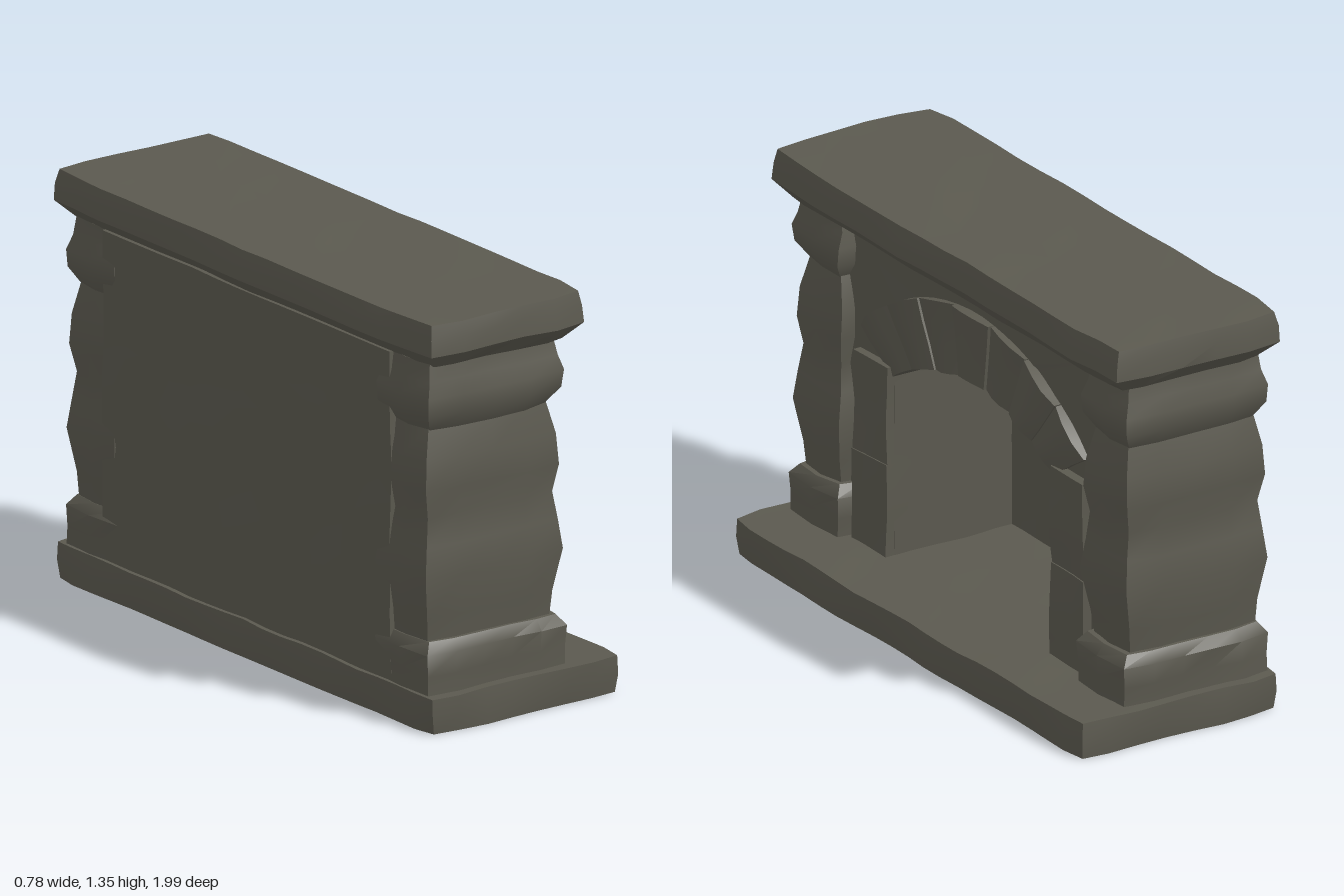
import * as THREE from 'three';
import { mergeVertices, toCreasedNormals } from 'three/addons/utils/BufferGeometryUtils.js';

const stoneMat = new THREE.MeshStandardMaterial({ color: 0x5b594f });
stoneMat.name = 'weathered grey stone';

// Seeded lattice noise in the range -1..1
const hash = (i, j, k) => {
  const s = Math.sin(i * 127.1 + j * 311.7 + k * 74.7 + 5.3) * 43758.5453;
  return (s - Math.floor(s)) * 2 - 1;
};
function noise(x, y, z) {
  const i = Math.floor(x), j = Math.floor(y), k = Math.floor(z);
  let sum = 0;
  for (let n = 0; n < 8; n++) {
    const a = n & 1, b = (n >> 1) & 1, c = n >> 2;
    sum += hash(i + a, j + b, k + c) * (a ? x - i : 1 - x + i) * (b ? y - j : 1 - y + j) * (c ? z - k : 1 - z + k);
  }
  return sum;
}

// Linear lookup in a list of [height, offset]
function lookup(profile, y) {
  if (y <= profile[0][0]) return profile[0][1];
  for (let i = 1; i < profile.length; i++) {
    const [y0, e0] = profile[i - 1], [y1, e1] = profile[i];
    if (y <= y1) return e0 + ((e1 - e0) * (y - y0)) / (y1 - y0);
  }
  return profile[profile.length - 1][1];
}

// Chip every vertex by noise, then keep only the hard edges sharp
function finish(geo, name, rough, crease = 0.75) {
  geo.deleteAttribute('uv');
  geo.deleteAttribute('normal');
  geo = mergeVertices(geo, 1e-4);
  const p = geo.attributes.position;
  for (let i = 0; i < p.count; i++) {
    const x = p.getX(i), y = p.getY(i), z = p.getZ(i);
    const n = (o) => rough * noise(x * 7 + o, y * 7 + o * 2, z * 7 - o);
    p.setXYZ(i, x + n(0), y <= 0.001 ? 0 : y + n(11) * 0.6, z + n(23));
  }
  const mesh = new THREE.Mesh(toCreasedNormals(geo, crease), stoneMat);
  mesh.name = name;
  return mesh;
}

// Rough block between two corners; the profile swells or pinches its sides by height
function block(name, [x0, y0, z0], [x1, y1, z1], { profile = [[0, 0]], levels = null, rough = 0.012, step = 0.12, chamfer = 0.012 } = {}) {
  const size = [x1 - x0, y1 - y0, z1 - z0];
  const seg = size.map((s) => Math.max(2, Math.round(s / step)));
  if (levels) seg[1] = levels.length - 1;
  const geo = new THREE.BoxGeometry(...size, ...seg);
  geo.translate((x0 + x1) / 2, (y0 + y1) / 2, (z0 + z1) / 2);
  const p = geo.attributes.position;
  for (let i = 0; i < p.count; i++) {
    let x = p.getX(i), y = p.getY(i), z = p.getZ(i);
    if (levels) y = levels[Math.round(((y - y0) / size[1]) * seg[1])];
    const sx = Math.abs(x - x0) < 1e-5 ? -1 : Math.abs(x - x1) < 1e-5 ? 1 : 0;
    const sz = Math.abs(z - z0) < 1e-5 ? -1 : Math.abs(z - z1) < 1e-5 ? 1 : 0;
    const e = lookup(profile, y) - (sx && sz ? chamfer : 0);
    p.setXYZ(i, x + sx * e, y, z + sz * e);
  }
  return finish(geo, name, rough);
}

// Arcs of the arch: [centre height, radius, half width]
const INNER = [0.1, 0.78, 0.46], OUTER = [0.21, 0.9, 0.64];
const arcPoint = ([cy, r, half], t) => {
  const a = t * Math.asin(half / r);
  return [r * Math.sin(a), cy + r * Math.cos(a)];
};

export function createModel() {
  const model = new THREE.Group();
  model.name = 'fireplace';

  // Hearth slab
  model.add(block('hearth', [-0.365, 0, -0.985], [0.375, 0.12, 0.985], {
    profile: [[0, 0], [0.06, 0.006], [0.12, 0.002]], step: 0.1, rough: 0.01,
  }));

  // Mantel shelf, flaring out from a narrower underside
  model.add(block('mantel', [-0.37, 1.19, -0.98], [0.235, 1.345, 0.98], {
    levels: [1.19, 1.245, 1.3, 1.345],
    profile: [[1.19, -0.04], [1.245, 0.013], [1.3, 0.01], [1.345, 0]], rough: 0.011,
  }));

  // Side pillars: plinth, shaft and capital
  const shaft = [[0.25, -0.01], [0.36, 0], [0.5, 0.022], [0.6, 0.008], [0.69, -0.006], [0.78, 0.012], [0.88, 0.008], [0.985, -0.015]];
  const cap = [[0.975, -0.018], [1.03, 0.016], [1.09, 0.02], [1.14, 0.004], [1.2, -0.004]];
  const plinth = [[0.1, 0.008], [0.18, 0.006], [0.25, 0.012], [0.285, -0.012]];
  for (const s of [1, -1]) {
    const side = s > 0 ? 'left' : 'right';
    const stack = (name, prof, x0, x1, zIn, zOut) => model.add(block(`${side} ${name}`,
      [x0, prof[0][0], Math.min(s * zIn, s * zOut)], [x1, prof[prof.length - 1][0], Math.max(s * zIn, s * zOut)],
      { levels: prof.map((q) => q[0]), profile: prof, rough: 0.011 }));
    stack('pillar plinth', plinth, -0.352, 0.19, 0.672, 0.945);
    stack('pillar shaft', shaft, -0.346, 0.168, 0.69, 0.93);
    stack('pillar capital', cap, -0.346, 0.17, 0.695, 0.935);
  }

  // Chimney breast with arched opening
  const wall = new THREE.Shape();
  wall.moveTo(-0.72, 0.1);
  wall.lineTo(-0.46, 0.1);
  for (let i = 0; i <= 12; i++) wall.lineTo(...arcPoint(INNER, i / 6 - 1));
  wall.lineTo(0.46, 0.1);
  wall.lineTo(0.72, 0.1);
  wall.lineTo(0.72, 1.2);
  wall.lineTo(-0.72, 1.2);
  const breast = new THREE.ExtrudeGeometry(wall, { depth: 0.45, steps: 4, bevelEnabled: false });
  breast.rotateY(Math.PI / 2);
  breast.translate(-0.335, 0, 0);
  model.add(finish(breast, 'chimney breast', 0.006));

  // Back wall closing the firebox
  model.add(block('back wall', [-0.352, 0.1, -0.75], [-0.325, 1.2, 0.75], { rough: 0.008, chamfer: 0 }));

  // Jamb stones beside the opening
  for (const s of [1, -1]) {
    for (const [y0, y1, swell] of [[0.1, 0.43, 0.004], [0.43, 0.76, 0]]) {
      const geo = new THREE.BoxGeometry(0.2, y1 - y0, 0.19, 2, 4, 3);
      geo.translate(0.045 + swell, (y0 + y1) / 2, s * 0.555);
      model.add(finish(geo, 'jamb stone', 0.01));
    }
  }

  // Arch stones: boxes bent between the inner and outer arcs
  const count = 7;
  for (let n = 0; n < count; n++) {
    const geo = new THREE.BoxGeometry(1, 1, 1, 3, 3, 2);
    const p = geo.attributes.position;
    const proud = 0.145 + 0.008 * hash(n, 3, 1) + (n === 3 ? 0.012 : 0);
    for (let i = 0; i < p.count; i++) {
      const u = p.getX(i), v = p.getY(i) + 0.5, w = p.getZ(i) + 0.5;
      const t = ((n + 0.5 + u * 0.985) / count) * 2 - 1;
      const a = arcPoint(INNER, t), b = arcPoint(OUTER, t);
      const worn = Math.abs(u) > 0.49 && w > 0.99 ? 0.012 : 0;
      p.setXYZ(i, -0.06 + w * (proud + 0.06) - worn, a[1] + (b[1] - a[1]) * v - 0.004, -(a[0] + (b[0] - a[0]) * v));
    }
    model.add(finish(geo, 'arch stone', 0.009));
  }

  return model;
}
